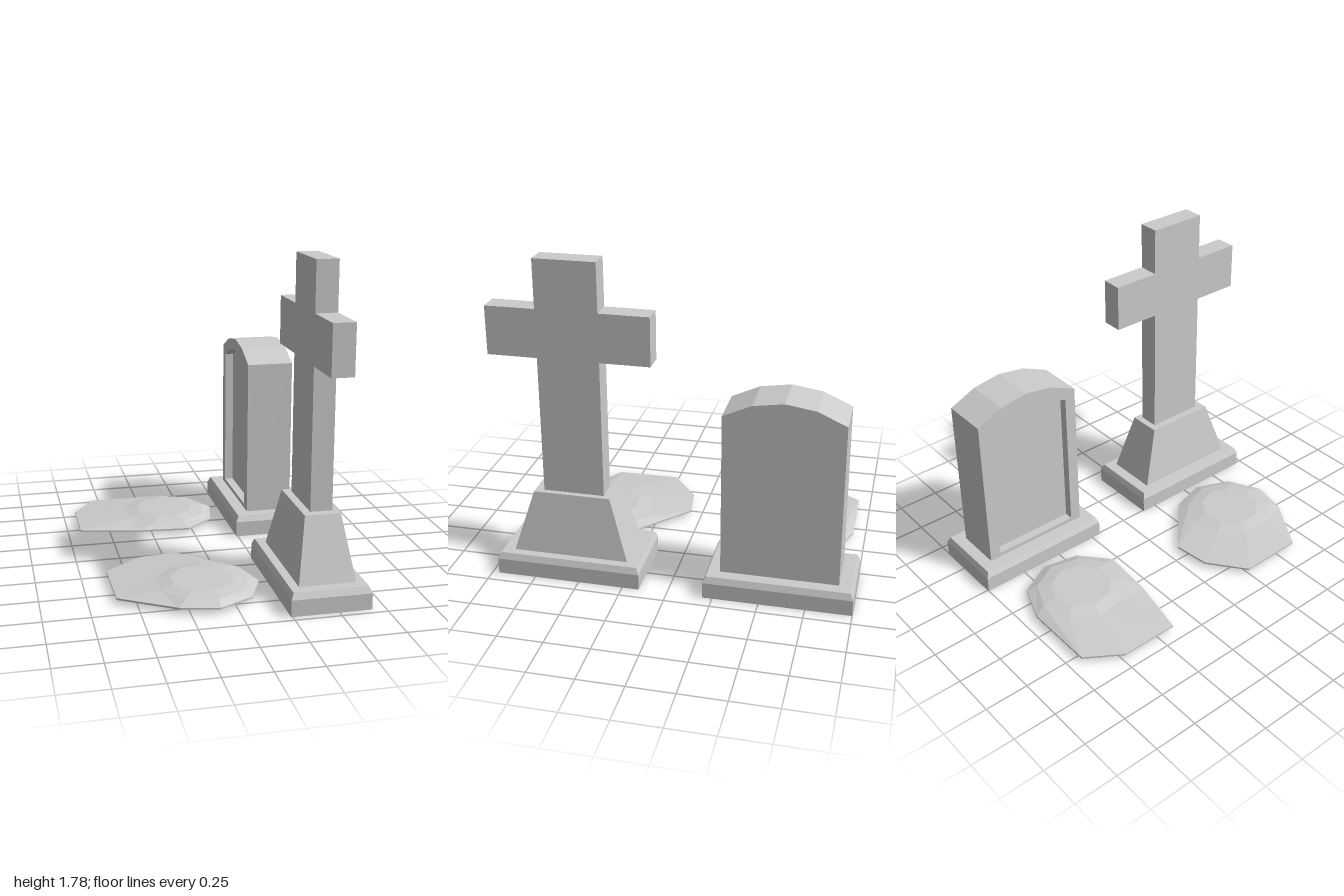
import * as THREE from 'three';

const stone = new THREE.MeshStandardMaterial({ color: 0xcccccc, flatShading: true });

function add(parent, name, geometry) {
  const mesh = new THREE.Mesh(geometry, stone);
  mesh.name = name;
  parent.add(mesh);
  return mesh;
}

// Box from y0 to y1 whose top is scaled to its own width and depth
function taperedBox(w, d, topW, topD, y0, y1) {
  const g = new THREE.BoxGeometry(w, y1 - y0, d).translate(0, (y0 + y1) / 2, 0);
  const p = g.attributes.position;
  for (let i = 0; i < p.count; i++) {
    if (p.getY(i) > (y0 + y1) / 2) {
      p.setX(i, p.getX(i) * topW / w);
      p.setZ(i, p.getZ(i) * topD / d);
    }
  }
  g.computeVertexNormals();
  return g;
}

// Outline drawn in (z, y), extruded from x = start towards -x
function slab(points, start, depth, hole) {
  const shape = new THREE.Shape(points.map(([z, y]) => new THREE.Vector2(z, y)));
  if (hole) shape.holes.push(new THREE.Path(hole.map(([z, y]) => new THREE.Vector2(z, y))));
  const g = new THREE.ExtrudeGeometry(shape, { depth, bevelEnabled: false });
  return g.rotateY(-Math.PI / 2).translate(start, 0, 0);
}

// Plinth with a chamfered top edge
function plinth(parent) {
  add(parent, 'plinth', taperedBox(0.435, 0.805, 0.435, 0.805, 0, 0.09));
  add(parent, 'plinthChamfer', taperedBox(0.435, 0.805, 0.405, 0.775, 0.09, 0.125));
}

// Low faceted mound: irregular rim, two rounder rings and a flat top
function mound(rim, cx, cz, startAngle) {
  const n = rim.length;
  const ring = (r, y) => rim.map((_, i) => {
    const a = startAngle + i / n * Math.PI * 2;
    return [cx + r * Math.cos(a), y, cz + r * Math.sin(a)];
  });
  const rings = [
    rim.map(([x, z]) => [x, 0.025, z]),
    rim.map(([x, z]) => [x, 0.035, z]),
    ring(0.255, 0.06),
    ring(0.175, 0.075),
  ];
  const pos = [];
  const tri = (a, b, c) => pos.push(...a, ...b, ...c);
  for (let i = 0; i < n; i++) {
    const j = (i + 1) % n;
    for (let k = 0; k < 3; k++) {
      const lo = rings[k], hi = rings[k + 1];
      tri(lo[i], hi[i], hi[j]);
      tri(lo[i], hi[j], lo[j]);
    }
    tri([cx, 0.075, cz], rings[3][j], rings[3][i]);
    tri([cx, 0.025, cz], rings[0][i], rings[0][j]);
  }
  const g = new THREE.BufferGeometry();
  g.setAttribute('position', new THREE.Float32BufferAttribute(pos, 3));
  g.computeVertexNormals();
  return g;
}

export function createModel() {
  const model = new THREE.Group();
  model.name = 'graves';

  // Cross monument
  const cross = new THREE.Group();
  cross.name = 'crossMonument';
  cross.position.set(0.458, 0, 0.56);
  plinth(cross);
  add(cross, 'pedestal', taperedBox(0.31, 0.645, 0.195, 0.43, 0.125, 0.47));
  const half = [[0.17, 0.47], [0.17, 1.245], [0.445, 1.245], [0.445, 1.515], [0.17, 1.515], [0.17, 1.785]];
  const mirrored = half.map(([z, y]) => [-z, y]).reverse();
  add(cross, 'cross', slab([...half, ...mirrored], 0.06, 0.12)).position.set(0.007, 0, -0.005);
  model.add(cross);

  // Arched headstone with a recessed panel facing its grave
  const headstone = new THREE.Group();
  headstone.name = 'headstone';
  headstone.position.set(0.458, 0, -0.598);
  plinth(headstone);
  const outline = [[-0.32, 0.125], [0.32, 0.125], [0.32, 1.04], [0.165, 1.11],
    [0, 1.135], [-0.165, 1.11], [-0.32, 1.04]];
  const panel = [[-0.255, 0.15], [0.255, 0.15], [0.255, 0.99], [0.14, 1.045],
    [0, 1.068], [-0.14, 1.045], [-0.255, 0.99]];
  add(headstone, 'headstoneSlab', slab(outline, 0.137, 0.22));
  add(headstone, 'headstoneFrame', slab(outline, -0.083, 0.05, panel));
  model.add(headstone);

  // Grave mounds
  add(model, 'frontMound', mound([[0.18, 0.55], [0.095, 0.75], [-0.1, 0.85], [-0.31, 0.805],
    [-0.605, 0.62], [-0.61, 0.25], [-0.4, 0.09], [-0.19, 0.065], [0.115, 0.34]], -0.135, 0.545, 0));
  add(model, 'backMound', mound([[0.175, -0.66], [0.135, -0.45], [-0.03, -0.305], [-0.34, -0.33],
    [-0.68, -0.4], [-0.68, -0.735], [-0.55, -0.93], [-0.14, -0.93], [0.07, -0.855]], -0.13, -0.61, -0.12));

  return model;
}
